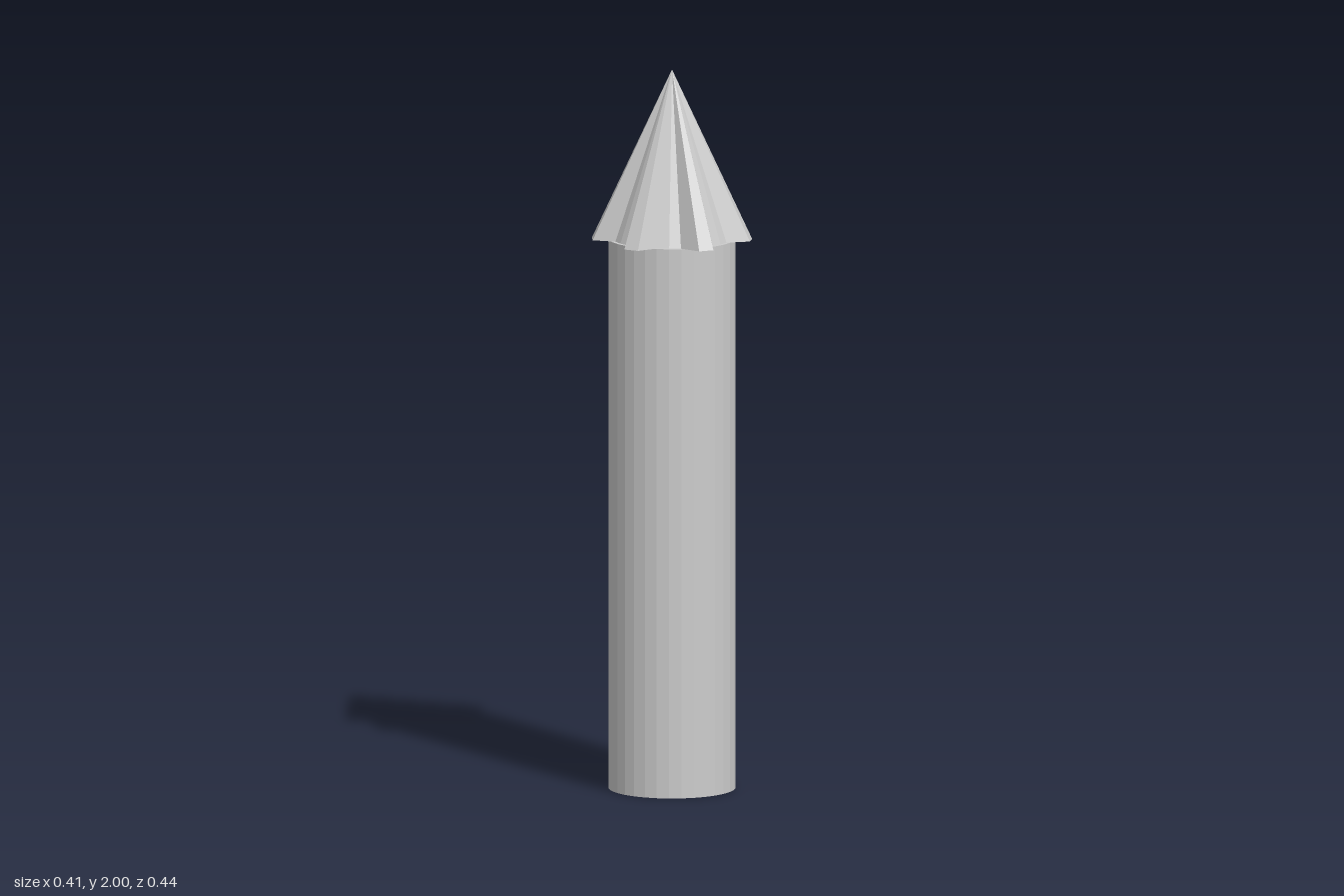
import * as THREE from 'three';

const SIDES = 32;
const BODY_RADIUS = 0.175;
const BODY_HEIGHT = 1.53;
const TIP_HEIGHT = 0.47;
const RIDGE_RADIUS = 0.22;
const VALLEY_RADIUS = 0.165;

// Steps around the rim (from +z towards +x) that stand out as ridges
const RIDGE_STEPS = new Set([0, 1, 5, 6, 10, 11, 15, 16, 20, 21, 22, 26, 27, 28]);

// Cone whose rim is pulled in between six ridges
function flutedCone() {
  const geometry = new THREE.ConeGeometry(RIDGE_RADIUS, TIP_HEIGHT, SIDES, 1);
  const p = geometry.attributes.position;
  for (let i = 0; i < p.count; i++) {
    const x = p.getX(i), z = p.getZ(i);
    if (Math.hypot(x, z) < 0.01) continue;
    const step = (Math.round(Math.atan2(x, z) / (2 * Math.PI) * SIDES) + SIDES) % SIDES;
    if (RIDGE_STEPS.has(step)) continue;
    const k = VALLEY_RADIUS / RIDGE_RADIUS;
    p.setX(i, x * k);
    p.setZ(i, z * k);
  }
  geometry.computeVertexNormals();
  return geometry;
}

export function createModel() {
  const group = new THREE.Group();
  const material = new THREE.MeshStandardMaterial({ color: 0xcccccc, flatShading: true });

  // Round post
  const post = new THREE.Mesh(
    new THREE.CylinderGeometry(BODY_RADIUS, BODY_RADIUS, BODY_HEIGHT, SIDES), material);
  post.name = 'post';
  post.position.y = BODY_HEIGHT / 2;

  // Fluted pointed tip
  const tip = new THREE.Mesh(flutedCone(), material);
  tip.name = 'flutedTip';
  tip.position.y = BODY_HEIGHT + TIP_HEIGHT / 2;

  group.add(post, tip);
  return group;
}
